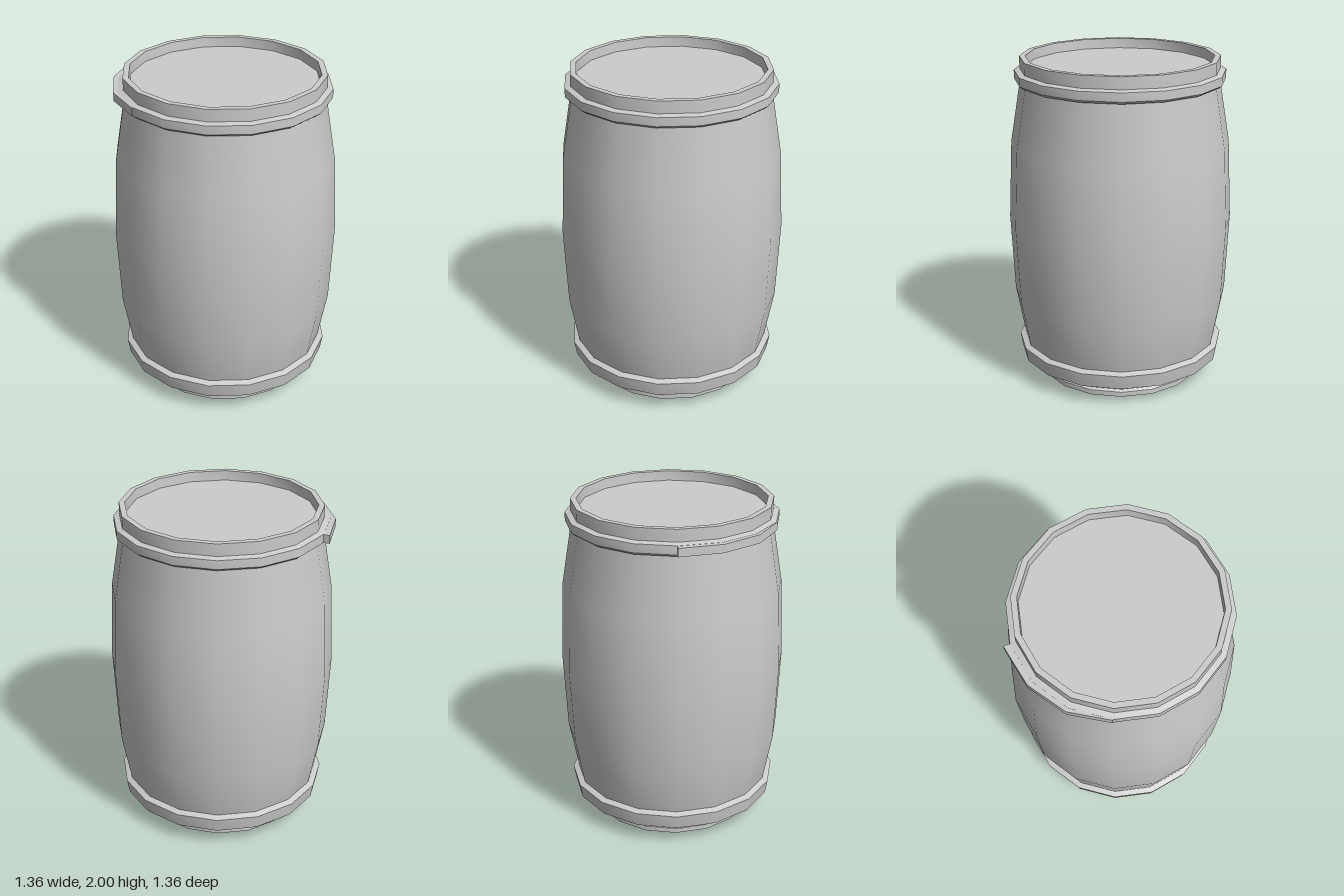
import * as THREE from 'three';
import { toCreasedNormals } from 'three/addons/utils/BufferGeometryUtils.js';

const SIDES = 16;
const material = new THREE.MeshStandardMaterial({ color: 0xcccccc });

function addPart(group, name, geometry) {
  const mesh = new THREE.Mesh(toCreasedNormals(geometry, 0.5), material);
  mesh.name = name;
  group.add(mesh);
}

// Turned part from [radius, height] points running up the outside
function turned(points) {
  return new THREE.LatheGeometry(points.map(([r, y]) => new THREE.Vector2(r, y)), SIDES);
}

export function createModel() {
  const model = new THREE.Group();
  model.name = 'barrel';

  // Bulging shell with rounded shoulder at the bottom
  addPart(model, 'barrelBody', turned([
    [0.46, 0.09], [0.5, 0.095], [0.55, 0.112], [0.585, 0.15], [0.605, 0.22],
    [0.66, 0.52], [0.682, 1.0], [0.66, 1.48], [0.6, 1.84], [0.598, 1.88],
  ]));

  // Foot with a small lip and a recessed underside
  addPart(model, 'footRing', turned([
    [0, 0.055], [0.465, 0.055], [0.47, 0], [0.495, 0], [0.495, 0.03],
    [0.48, 0.042], [0.48, 0.092],
  ]));

  // Wide band around the base
  addPart(model, 'baseBand', turned([
    [0.575, 0.135], [0.6, 0.12], [0.625, 0.12], [0.64, 0.208], [0.6, 0.225],
  ]));

  // Raised lid rim with a sunken top panel
  addPart(model, 'lid', turned([
    [0.598, 1.86], [0.598, 2], [0.563, 2], [0.56, 1.94], [0, 1.94],
  ]));

  // Clamping ring that holds the lid
  addPart(model, 'clampRing', turned([
    [0.59, 1.848], [0.612, 1.85], [0.632, 1.866], [0.632, 1.918], [0.595, 1.928],
  ]));

  // Lever lying along the right side of the ring, tapering to the front
  const outer = [0.637, 0.655, 0.664, 0.67];
  const angles = [135, 157.5, 180, 202.5].map(THREE.MathUtils.degToRad);
  const at = (r, a) => new THREE.Vector2(r * Math.cos(a), -r * Math.sin(a));
  const plan = angles.map((a, i) => at(outer[i], a));
  plan.push(...angles.map((a) => at(0.625, a)).reverse());
  const lever = new THREE.ExtrudeGeometry(new THREE.Shape(plan), { depth: 0.05, bevelEnabled: false });
  lever.rotateX(-Math.PI / 2).translate(0, 1.867, 0);
  addPart(model, 'clampLever', lever);

  return model;
}
